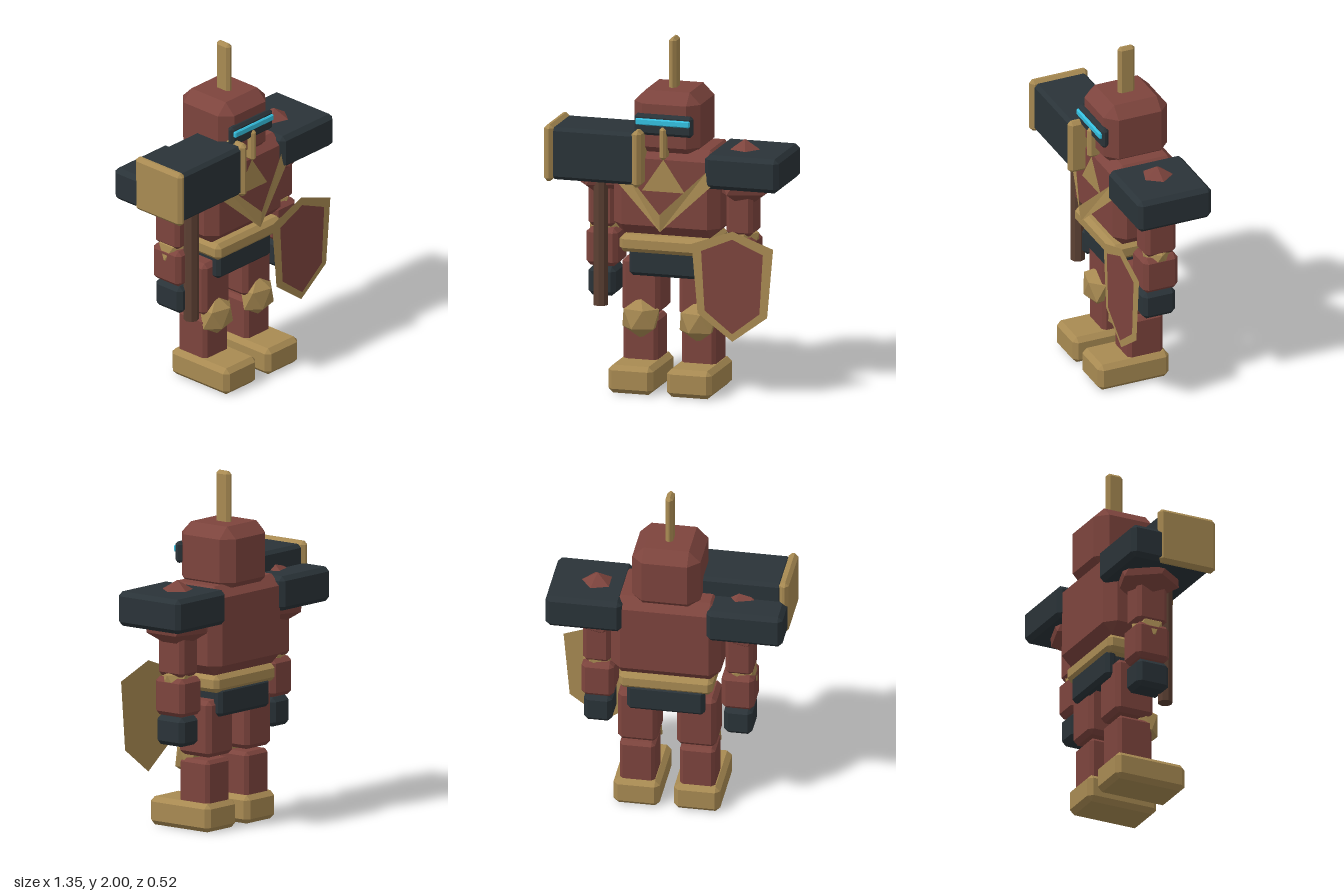
import * as THREE from 'three';
import { ConvexGeometry } from 'three/addons/geometries/ConvexGeometry.js';

const paint = (color, side = THREE.FrontSide) =>
  new THREE.MeshStandardMaterial({ color, flatShading: true, side });

export function createModel() {
  const root = new THREE.Group();
  root.name = 'armouredKnight';
  const red = paint(0x7d443d), dark = paint(0x2a3338), gold = paint(0xa88a52);
  const wood = paint(0x5c4033), glow = paint(0x35c0e0);
  const goldSheet = paint(0xa88a52, THREE.DoubleSide);
  const redSheet = paint(0x7d443d, THREE.DoubleSide);

  function add(name, geometry, material, x = 0, y = 0, z = 0) {
    const mesh = new THREE.Mesh(geometry, material);
    mesh.name = name;
    mesh.position.set(x, y, z);
    root.add(mesh);
    return mesh;
  }

  // Box with a single flat chamfer c, given by its [min, max] along each axis
  function block(name, material, [x0, x1], [y0, y1], [z0, z1], c) {
    const w = (x1 - x0) / 2, h = (y1 - y0) / 2, d = (z1 - z0) / 2;
    const pts = [];
    for (const i of [-1, 1]) for (const j of [-1, 1]) for (const k of [-1, 1]) {
      pts.push(
        new THREE.Vector3(i * w, j * (h - c), k * (d - c)),
        new THREE.Vector3(i * (w - c), j * h, k * (d - c)),
        new THREE.Vector3(i * (w - c), j * (h - c), k * d));
    }
    return add(name, new ConvexGeometry(pts), material,
      (x0 + x1) / 2, (y0 + y1) / 2, (z0 + z1) / 2);
  }

  // Icosahedron standing on one of its corners
  function gem(name, material, r, x, y, z, depth = 1) {
    const geo = new THREE.IcosahedronGeometry(r, 0);
    geo.rotateX(-Math.atan((1 + Math.sqrt(5)) / 2));
    geo.rotateY(Math.PI / 2);
    geo.scale(1, 1, depth);
    return add(name, geo, material, x, y, z);
  }

  // Torso, waist and head
  block('torso', red, [-0.31, 0.31], [0.89, 1.395], [-0.235, 0.16], 0.06);
  block('belt', gold, [-0.265, 0.265], [0.79, 0.89], [-0.205, 0.165], 0.025);
  block('pelvis', dark, [-0.19, 0.19], [0.68, 0.82], [-0.15, 0.08], 0.02);
  block('frontWaistPlate', dark, [-0.22, 0.22], [0.65, 0.81], [0.06, 0.125], 0.02);
  block('backWaistPlate', dark, [-0.22, 0.22], [0.65, 0.81], [-0.195, -0.13], 0.02);
  block('helmet', red, [-0.193, 0.193], [1.34, 1.715], [-0.23, 0.16], 0.065);
  block('visor', dark, [-0.17, 0.17], [1.475, 1.595], [0.14, 0.185], 0.016);
  block('eyeSlit', glow, [-0.158, 0.158], [1.535, 1.572], [0.17, 0.198], 0.006);
  block('crest', gold, [-0.022, 0.022], [1.69, 2.0], [-0.087, 0.014], 0.017);
  block('noseGuard', gold, [-0.02, 0.02], [1.34, 1.527], [0.12, 0.2], 0.015);

  // Folded chevron standing off the chest, with a triangle above it
  for (const s of [-1, 1]) {
    const geo = new THREE.BufferGeometry();
    geo.setAttribute('position', new THREE.Float32BufferAttribute([
      0, 0.94, 0.24, s * 0.3, 1.225, 0.172, s * 0.25, 1.285, 0.168, 0, 1.04, 0.25], 3));
    geo.setIndex(s > 0 ? [0, 1, 2, 0, 2, 3] : [0, 2, 1, 0, 3, 2]);
    geo.computeVertexNormals();
    add('chestChevron', geo, goldSheet);
  }
  const flat = (pts) =>
    new THREE.ShapeGeometry(new THREE.Shape(pts.map(([x, y]) => new THREE.Vector2(x, y))));
  add('chestTriangle', flat([[-0.125, 1.155], [0.125, 1.155], [0, 1.34]]), goldSheet, 0, 0, 0.175);

  // Arms and legs, one of each per side
  for (const s of [-1, 1]) {
    const span = (a, b) => (s > 0 ? [a, b] : [-b, -a]);
    block('shoulderPad', dark, span(0.24, 0.67), [1.19, 1.385], [-0.262, 0.187], 0.025);
    gem('shoulder', red, 0.2, s * 0.41, 1.24, -0.04);
    block('upperArm', red, span(0.325, 0.48), [0.9, 1.2], [-0.13, 0.055], 0.022);
    gem('elbow', gold, 0.1, s * 0.405, 0.865, -0.035);
    block('forearm', red, span(0.305, 0.488), [0.675, 0.892], [-0.14, 0.07], 0.025);
    block('hand', dark, span(0.317, 0.477), [0.505, 0.67], [-0.13, 0.07], 0.025);
    block('thigh', red, span(0.055, 0.278), [0.42, 0.74], [-0.16, 0.073], 0.025);
    block('shin', red, span(0.07, 0.27), [0.12, 0.4], [-0.145, 0.07], 0.02);
    gem('kneeCap', gold, 0.12, s * 0.167, 0.397, 0.06, 0.72);
    block('foot', gold, span(0.04, 0.302), [0, 0.16], [-0.172, 0.262], 0.027);
  }

  // Hammer held on the right side
  add('hammerHandle', new THREE.CylinderGeometry(0.043, 0.043, 0.8, 8), wood, -0.395, 0.86, 0.08);
  block('hammerHead', dark, [-0.64, -0.14], [1.195, 1.495], [-0.08, 0.24], 0.02);
  for (const x of [-0.65, -0.138]) {
    block('hammerFace', gold, [x - 0.027, x + 0.027], [1.185, 1.51], [-0.095, 0.257], 0.02);
  }

  // Thin six-sided shield on the left side: gold sheet with a red field in front
  const crestShape = (top, wide, high, narrow, low, tip) => flat([
    [0, tip], [narrow, low], [wide, high], [0, top], [-wide, high], [-narrow, low]]);
  add('shieldRim', crestShape(0.957, 0.238, 0.87, 0.203, 0.475, 0.325), goldSheet, 0.403, 0, 0.176);
  add('shieldField', crestShape(0.912, 0.18, 0.835, 0.16, 0.495, 0.37), redSheet, 0.403, 0, 0.183);

  return root;
}
